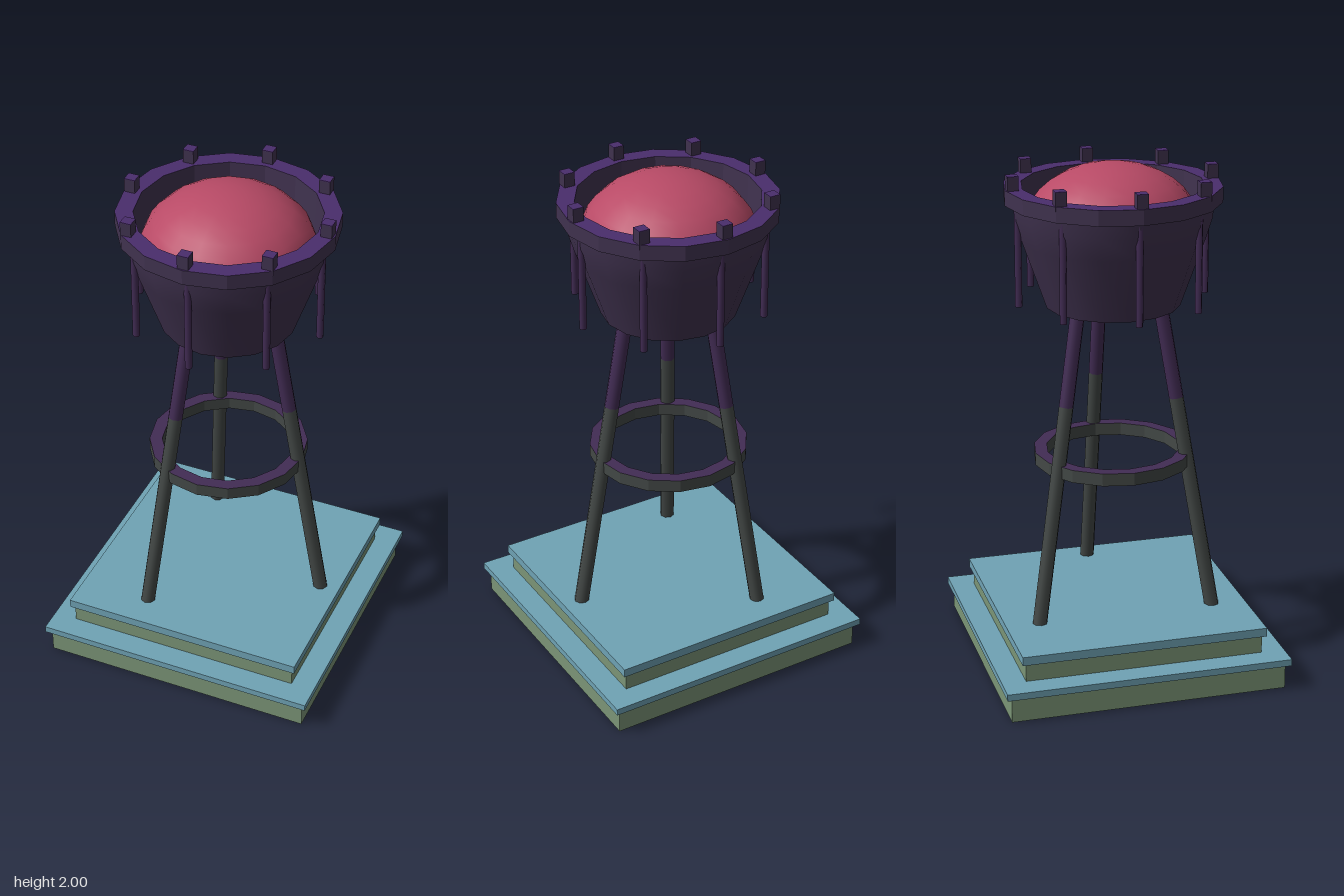
import * as THREE from 'three';
import { toCreasedNormals } from 'three/addons/utils/BufferGeometryUtils.js';

const SIDES = 16;

function material(name, color) {
  const m = new THREE.MeshStandardMaterial({ color });
  m.name = name;
  return m;
}

// Revolved profile of [radius, height] points, with sharp edges above the crease angle
function lathe(profile, crease) {
  const points = profile.map(([r, y]) => new THREE.Vector2(r, y));
  return toCreasedNormals(new THREE.LatheGeometry(points, SIDES), crease);
}

export function createModel() {
  const group = new THREE.Group();
  const stone = material('sage stone', 0x7b9577);
  const slab = material('blue slab', 0x6fa3b5);
  const iron = material('dark iron', 0x434846);
  const plumIron = material('plum iron', 0x422c54);
  const bowlPlum = material('dark plum', 0x40324f);
  const violet = material('violet trim', 0x4a2d6c);
  const red = material('crimson fill', 0xb84a66);

  function add(name, geometry, mat, parent = group) {
    const mesh = new THREE.Mesh(geometry, mat);
    mesh.name = name;
    parent.add(mesh);
    return mesh;
  }

  // Stepped square base
  const base = new THREE.Group();
  base.name = 'base';
  group.add(base);
  for (const [name, half, y0, y1, mat] of [
    ['lowerBlock', 0.545, 0, 0.1, stone],
    ['lowerSlab', 0.565, 0.1, 0.127, slab],
    ['upperBlock', 0.472, 0.127, 0.2, stone],
    ['upperSlab', 0.487, 0.2, 0.235, slab],
  ]) {
    add(name, new THREE.BoxGeometry(half * 2, y1 - y0, half * 2), mat, base).position.y = (y0 + y1) / 2;
  }

  // Three leaning legs, iron below and plum above
  const legRadius = (y) => 0.405 - 0.177 * (y - 0.235);
  function rod(name, angle, y0, y1, mat) {
    const at = (y) => new THREE.Vector3(Math.cos(angle) * legRadius(y), y, Math.sin(angle) * legRadius(y));
    const a = at(y0), b = at(y1);
    const mesh = add(name, new THREE.CylinderGeometry(0.029, 0.029, a.distanceTo(b), 8), mat);
    mesh.position.copy(a).lerp(b, 0.5);
    mesh.quaternion.setFromUnitVectors(new THREE.Vector3(0, 1, 0), b.sub(a).normalize());
  }
  for (let i = 0; i < 3; i++) {
    const angle = (i * Math.PI * 2) / 3;
    rod('lowerLeg', angle, 0.23, 1.09, iron);
    rod('upperLeg', angle, 1.09, 1.48, plumIron);
  }

  // Brace ring around the legs
  add('braceRing', lathe([[0.262, 0.865], [0.262, 0.815], [0.312, 0.815], [0.312, 0.865]], 0.1), iron);
  add('braceRingTop', lathe([[0.312, 0.865], [0.262, 0.865]], 0.1), plumIron);

  // Bowl with a closed bottom
  add('bowl', lathe([[0, 1.45], [0.26, 1.45], [0.352, 1.71], [0.38, 1.8], [0.385, 1.87]], 0.7), bowlPlum);

  // Rim band, its inner wall and its top face
  add('rim', lathe([[0.385, 1.86], [0.418, 1.86], [0.418, 1.92]], 0.1), bowlPlum);
  add('rimTop', lathe([[0.418, 1.92], [0.35, 1.92]], 0.1), violet);
  add('innerWall', lathe([[0.35, 1.92], [0.345, 1.75], [0.32, 1.75]], 0.1), bowlPlum);

  // Domed contents
  const dome = new THREE.SphereGeometry(0.338, SIDES, 8, 0, Math.PI * 2, 0, Math.PI / 2);
  dome.scale(1, 0.25 / 0.338, 1);
  add('dome', dome, red).position.y = 1.75;

  // Eight studs on the rim with hanging rods below
  for (let i = 0; i < 8; i++) {
    const angle = (i * Math.PI) / 4;
    const x = Math.cos(angle), z = Math.sin(angle);
    add('stud', new THREE.BoxGeometry(0.043, 0.07, 0.043), bowlPlum).position.set(x * 0.39, 1.937, z * 0.39);
    add('studTop', new THREE.BoxGeometry(0.043, 0.003, 0.043), violet).position.set(x * 0.39, 1.9735, z * 0.39);
    add('hangingRod', new THREE.CylinderGeometry(0.014, 0.014, 0.41, 6), plumIron).position.set(x * 0.37, 1.67, z * 0.37);
  }

  return group;
}
